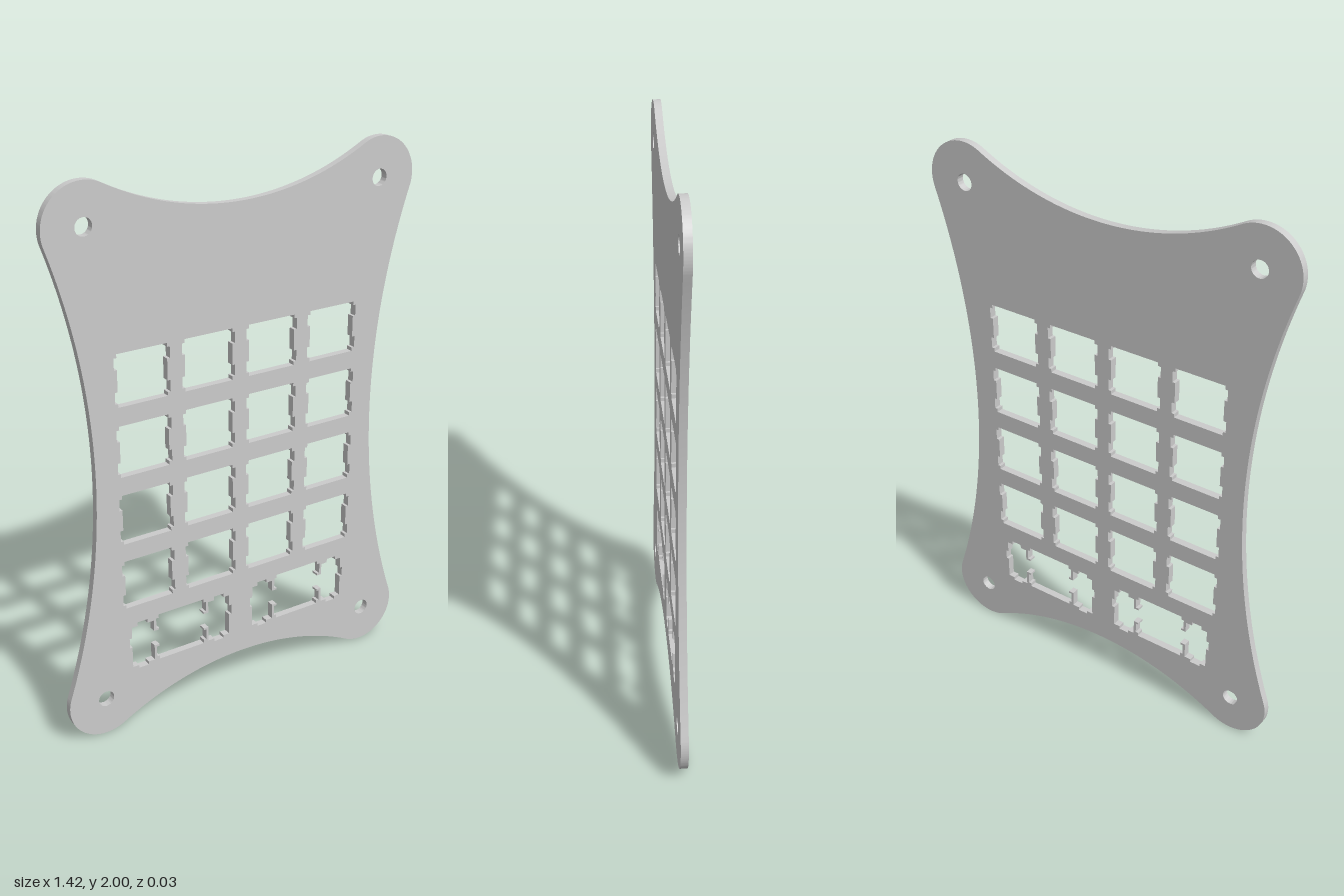
import * as THREE from 'three';
import { toCreasedNormals } from 'three/addons/utils/BufferGeometryUtils.js';

const R = 0.143;             // corner lobe radius
const CX = 0.565;            // corner lobe centre, x
const CY = 1 - R;            // corner lobe centre, y from the middle
const MM = 0.01326;          // cutout unit
const PITCH = 19.05 * MM;    // key spacing
const THICK = 0.027;

// Right half of each cutout, top to bottom
const KEY = [[7, 7], [7, 6], [7.8, 6], [7.8, 2.9], [7, 2.9],
  [7, -2.9], [7.8, -2.9], [7.8, -6], [7, -6], [7, -7]];
const WIDE_KEY = [[7, 7], [7, 6], [7.8, 6], [7.8, 2.9], [7, 2.9], [7, 2.3], [8.5, 2.3],
  [8.5, 5.6], [10.4, 5.6], [10.4, 6.7], [13.4, 6.7], [13.4, 5.6], [15.2, 5.6],
  [15.2, 2.3], [15.95, 2.3], [15.95, -0.5], [15.2, -0.5], [15.2, -6.7], [13.4, -6.7],
  [13.4, -7.6], [10.4, -7.6], [10.4, -6.7], [8.5, -6.7], [8.5, -2.3], [7, -2.3],
  [7, -2.9], [7.8, -2.9], [7.8, -6], [7, -6], [7, -7]];

// Mirrors a half profile and places it as a hole
function cutout(half, x, y) {
  const mirrored = half.map(([px, py]) => [-px, py]).reverse();
  return new THREE.Path([...half, ...mirrored].map(
    ([px, py]) => new THREE.Vector2(x + px * MM, y + py * MM)));
}

// Four round lobes joined by tangent concave arcs
function plateOutline() {
  const rEnd = (CX * CX - R * R) / (2 * R);
  const rSide = (CY * CY - R * R) / (2 * R);
  const a = Math.atan2(CY, rSide);
  const b = Math.atan2(rEnd, CX);
  const pi = Math.PI;
  const s = new THREE.Shape();
  s.absarc(CX, R, R, b - pi, a, false);
  s.absarc(CX + rSide, 1, rSide, pi + a, pi - a, true);
  s.absarc(CX, 2 - R, R, -a, pi - b, false);
  s.absarc(0, 2 - R + rEnd, rEnd, -b, b - pi, true);
  s.absarc(-CX, 2 - R, R, b, pi + a, false);
  s.absarc(-CX - rSide, 1, rSide, a, -a, true);
  s.absarc(-CX, R, R, pi - a, 2 * pi - b, false);
  s.absarc(0, R - rEnd, rEnd, pi - b, b, true);
  return s;
}

export function createModel() {
  const group = new THREE.Group();
  group.name = 'keypadPlate';
  const shape = plateOutline();

  // Screw holes
  for (const x of [-CX, CX]) {
    for (const y of [R, 2 - R]) {
      shape.holes.push(new THREE.Path().absarc(x, y, 0.03, 0, Math.PI * 2, true));
    }
  }

  // Four by four key openings
  const topRow = 1.335;
  for (let row = 0; row < 4; row++) {
    for (let col = 0; col < 4; col++) {
      shape.holes.push(cutout(KEY, (col - 1.5) * PITCH, topRow - row * PITCH));
    }
  }

  // Two double-width openings with stabilizer slots
  for (const side of [-1, 1]) {
    shape.holes.push(cutout(WIDE_KEY, side * PITCH, topRow - 4 * PITCH));
  }

  const geometry = new THREE.ExtrudeGeometry(shape, {
    depth: THICK, bevelEnabled: false, curveSegments: 32,
  });
  geometry.translate(0, 0, -THICK / 2);
  const plate = new THREE.Mesh(toCreasedNormals(geometry, 0.6),
    new THREE.MeshStandardMaterial({ color: 0xcccccc }));
  plate.name = 'plate';
  group.add(plate);
  return group;
}
